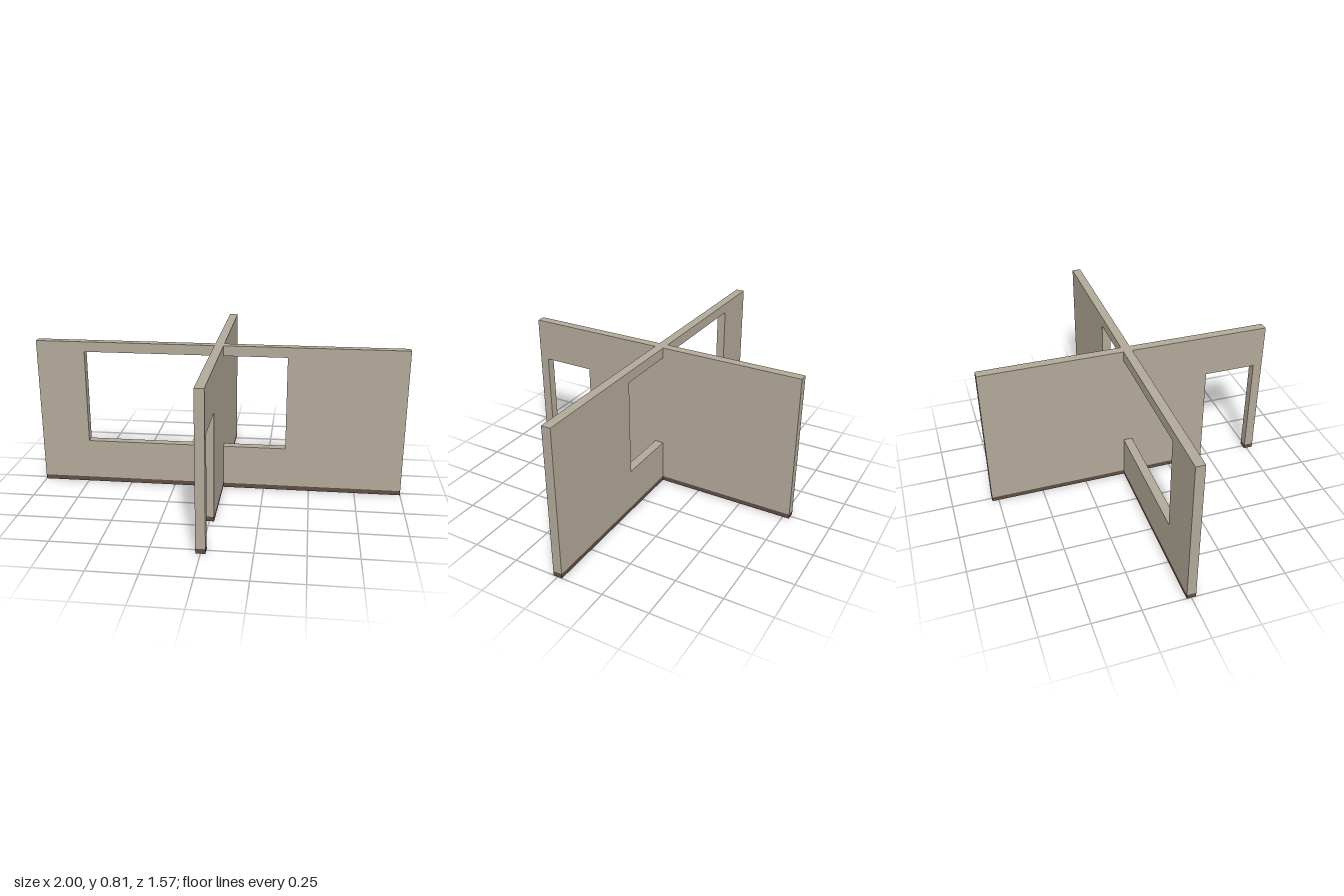
import * as THREE from 'three';

const T = 0.048, H = 0.815, SKIRT = 0.025, HALF_X = 1, HALF_Z = 0.785;
const WIN = { x0: -0.735, x1: 0.365, y0: 0.245, y1: 0.76 };
const DOOR = { z0: 0.45, z1: 0.735, top: 0.585 };

export function createModel() {
  const group = new THREE.Group();
  const wallMat = new THREE.MeshStandardMaterial({ color: 0xb2a999 });
  const skirtMat = new THREE.MeshStandardMaterial({ color: 0x5e4d43 });

  // upright slab from an outline in (length, height), centred on its thickness
  const slab = (name, points, material) => {
    const shape = new THREE.Shape(points.map(([u, v]) => new THREE.Vector2(u, v)));
    const geo = new THREE.ExtrudeGeometry(shape, { depth: T, bevelEnabled: false });
    geo.translate(0, 0, -T / 2);
    const mesh = new THREE.Mesh(geo, material);
    mesh.name = name;
    return mesh;
  };
  const skirting = (a, b) =>
    slab('skirting', [[a, 0], [b, 0], [b, SKIRT], [a, SKIRT]], skirtMat);

  // window wall: two C-shaped wings that meet the cross wall
  const windowWall = new THREE.Group();
  windowWall.name = 'windowWall';
  for (const [side, jamb] of [[-1, WIN.x0], [1, WIN.x1]]) {
    const inner = side * T / 2, outer = side * HALF_X;
    windowWall.add(slab(side > 0 ? 'leftWing' : 'rightWing', [
      [inner, SKIRT], [outer, SKIRT], [outer, H], [inner, H],
      [inner, WIN.y1], [jamb, WIN.y1], [jamb, WIN.y0], [inner, WIN.y0],
    ], wallMat));
    windowWall.add(skirting(inner, outer));
  }

  // cross wall with a doorway open to the floor near the front end
  const doorWall = new THREE.Group();
  doorWall.name = 'doorWall';
  doorWall.add(slab('doorWallPanel', [
    [-HALF_Z, SKIRT], [DOOR.z0, SKIRT], [DOOR.z0, DOOR.top], [DOOR.z1, DOOR.top],
    [DOOR.z1, SKIRT], [HALF_Z, SKIRT], [HALF_Z, H], [-HALF_Z, H],
  ], wallMat));
  doorWall.add(skirting(-HALF_Z, DOOR.z0), skirting(DOOR.z1, HALF_Z));
  doorWall.rotation.y = -Math.PI / 2;

  group.add(windowWall, doorWall);
  return group;
}
